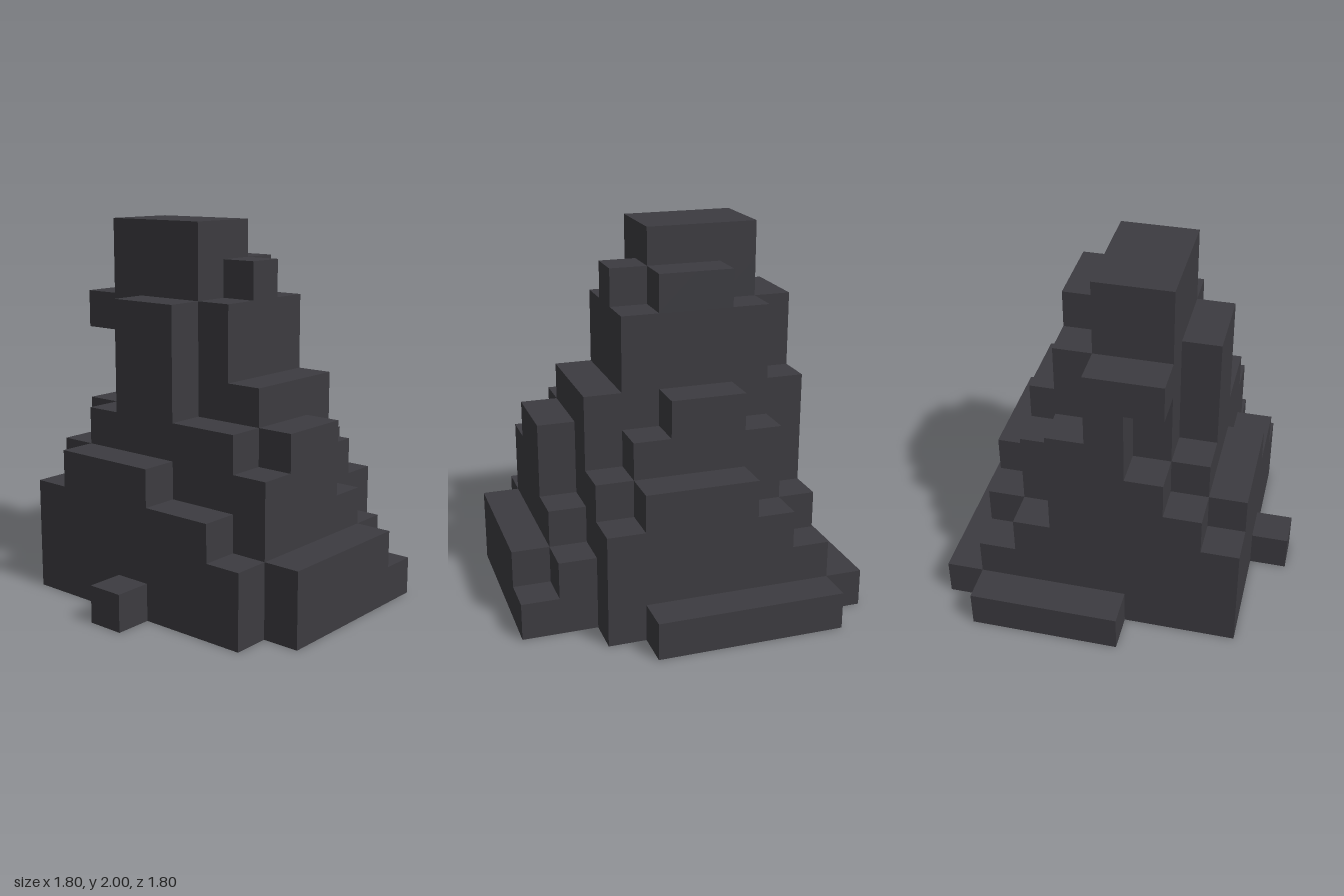
import * as THREE from 'three';
import { mergeGeometries } from 'three/addons/utils/BufferGeometryUtils.js';

const S = 0.2; // edge of one block
const N = 9;   // blocks along x and z

// Column heights in blocks: rows run back to front, digits -x to +x (a = 10)
const HEIGHTS = [
  '000011110',
  '034886321',
  '045aa8531',
  '048aa9641',
  '148aa9641',
  '035898541',
  '035666430',
  '024553200',
  '002222100',
].map((row) => [...row].map((c) => parseInt(c, 16)));

// A block is solid below its column height, except in the hollow on the back
function solid(i, j, k) {
  if (i < 0 || k < 0 || i >= N || k >= N || j < 0) return false;
  const hollow = i === 3 && k === 1 && (j === 5 || j === 6);
  return j < HEIGHTS[k][i] && !hollow;
}

// Six block faces: outward direction and the turn that points a plane that way
const H = Math.PI / 2;
const FACES = [
  [[0, 0, 1], 0, 0],
  [[0, 0, -1], 0, Math.PI],
  [[1, 0, 0], 0, H],
  [[-1, 0, 0], 0, -H],
  [[0, 1, 0], -H, 0],
  [[0, -1, 0], H, 0],
];

// Merge the exposed block faces between two levels
function buildTier(from, to) {
  const parts = [];
  for (let k = 0; k < N; k++) for (let i = 0; i < N; i++) for (let j = from; j < to; j++) {
    if (!solid(i, j, k)) continue;
    for (const [[dx, dy, dz], rx, ry] of FACES) {
      if (solid(i + dx, j + dy, k + dz)) continue;
      const face = new THREE.PlaneGeometry(S, S).rotateX(rx).rotateY(ry);
      face.translate((i - 4 + dx / 2) * S, (j + 0.5 + dy / 2) * S, (k - 4 + dz / 2) * S);
      parts.push(face);
    }
  }
  return mergeGeometries(parts);
}

export function createModel() {
  const group = new THREE.Group();
  group.name = 'rockSpire';
  const rock = new THREE.MeshStandardMaterial({ color: 0x3c3b40 });
  rock.name = 'darkRock';

  // Stacked tiers of the stepped rock
  for (const [name, from, to] of [
    ['foot', 0, 2],
    ['lowerSlope', 2, 5],
    ['upperSlope', 5, 8],
    ['summit', 8, 10],
  ]) {
    const tier = new THREE.Mesh(buildTier(from, to), rock);
    tier.name = name;
    group.add(tier);
  }
  return group;
}
